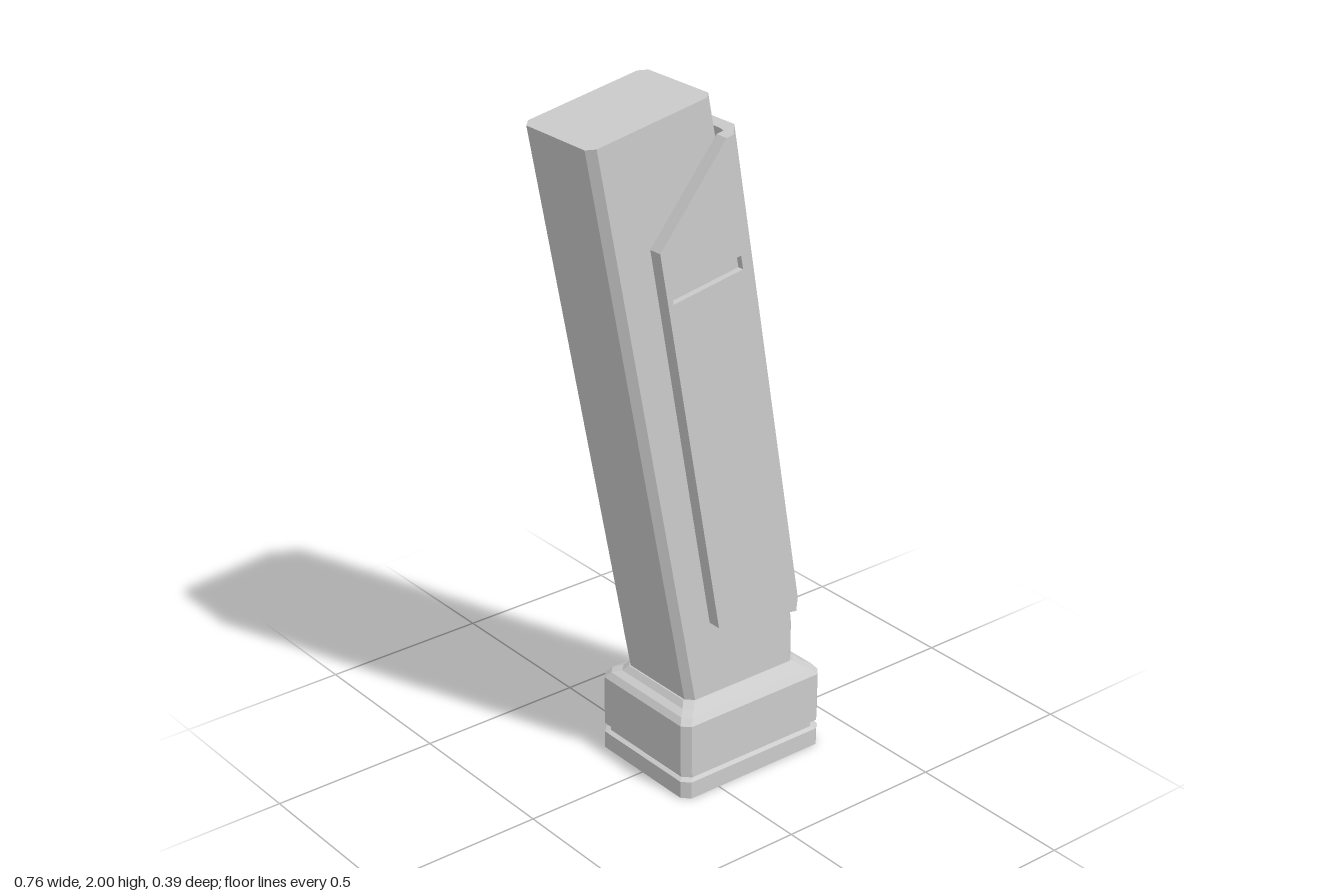
import * as THREE from 'three';

const material = new THREE.MeshStandardMaterial({ color: 0xcccccc, flatShading: true });

// Skin a list of equal-length point rings, capping the first (down) and last (up)
function loft(rings) {
  const pos = [];
  const tri = (a, b, c) => pos.push(...a, ...b, ...c);
  for (let r = 0; r < rings.length - 1; r++) {
    const a = rings[r], b = rings[r + 1];
    a.forEach((p, i) => {
      const j = (i + 1) % a.length;
      tri(p, a[j], b[j]);
      tri(p, b[j], b[i]);
    });
  }
  const cap = (ring, up) => {
    const flat = ring.map(p => new THREE.Vector2(p[0], p[2]));
    for (const f of THREE.ShapeUtils.triangulateShape(flat, [])) {
      const [a, b, c] = f.map(i => ring[i]);
      const ny = (b[2] - a[2]) * (c[0] - a[0]) - (b[0] - a[0]) * (c[2] - a[2]);
      if ((ny > 0) === up) tri(a, b, c); else tri(a, c, b);
    }
  };
  cap(rings[0], false);
  cap(rings[rings.length - 1], true);
  const g = new THREE.BufferGeometry();
  g.setAttribute('position', new THREE.Float32BufferAttribute(pos, 3));
  g.computeVertexNormals();
  return g;
}

// Rectangle with cut corners; height runs from y0 at x0 to y1 at x1
function cutRect(x0, y0, x1, y1, z, c) {
  return [[x1 - c, z], [x1, z - c], [x1, c - z], [x1 - c, -z],
    [x0 + c, -z], [x0, c - z], [x0, z - c], [x0 + c, z]]
    .map(([x, w]) => [x, y0 + (y1 - y0) * (x - x0) / (x1 - x0), w]);
}

export function createModel() {
  const group = new THREE.Group();
  const add = (name, geometry) => {
    const mesh = new THREE.Mesh(geometry, material);
    mesh.name = name;
    group.add(mesh);
  };

  // Hollow foot: [inset, height] from the cavity ceiling, down, out and up
  const footProfile = [[0.08, 0.25], [0.08, 0.2], [0.035, 0.18], [0.035, 0],
    [0, 0], [0, 0.052], [0.012, 0.058], [0.012, 0.074], [0, 0.08],
    [0, 0.23], [0.014, 0.247], [0.036, 0.256], [0.05, 0.272]];
  add('foot', loft(footProfile.map(([d, y]) =>
    cutRect(-0.12 + d, y, 0.38 - d, y, 0.193 - d, 0.022))));

  // Leaning column with cut corners
  add('column', loft([
    cutRect(-0.063, 0.26, 0.32, 0.26, 0.141, 0.021),
    cutRect(-0.086, 0.38, 0.32, 0.38, 0.141, 0.021),
    cutRect(-0.098, 0.447, 0.309, 0.47, 0.141, 0.021),
    cutRect(-0.38, 1.933, 0.008, 2, 0.141, 0.021),
  ]));

  // Front of the cover: face, two chamfers and the inner side
  const coverRing = (cx, cy, fx, fy) => [
    [cx, cy, 0.193], [fx, fy, 0.149], [fx, fy, -0.149], [cx, cy, -0.193],
    [cx, cy, -0.155], [cx + 0.006, cy, -0.13], [cx + 0.006, cy, 0.13], [cx, cy, 0.155]];
  add('coverFront', loft([
    coverRing(0.274, 0.464, 0.318, 0.472),
    coverRing(0.03, 1.905, 0.07, 1.912),
  ]));

  // Side plates of the cover, each with a shallow slot
  const toPoints = list => list.map(([x, y]) => new THREE.Vector2(x, y));
  const slot = toPoints([[-0.162, 1.495], [0.066, 1.534], [0.059, 1.573], [-0.169, 1.535]]);
  const plate = new THREE.Shape(toPoints(
    [[-0.005, 0.507], [0.274, 0.464], [0.03, 1.905], [0.008, 1.9], [-0.205, 1.642]]));
  plate.holes.push(new THREE.Path(slot));
  const extrude = (shape, depth, z) =>
    new THREE.ExtrudeGeometry(shape, { depth, bevelEnabled: false }).translate(0, 0, z);
  for (const [side, s] of [['front', 1], ['back', -1]]) {
    add(side + 'CoverPlate', extrude(plate, 0.04, s * 0.174 - 0.02));
    add(side + 'SlotFloor', extrude(new THREE.Shape(slot), 0.02, s * 0.165 - 0.01));
  }
  return group;
}
